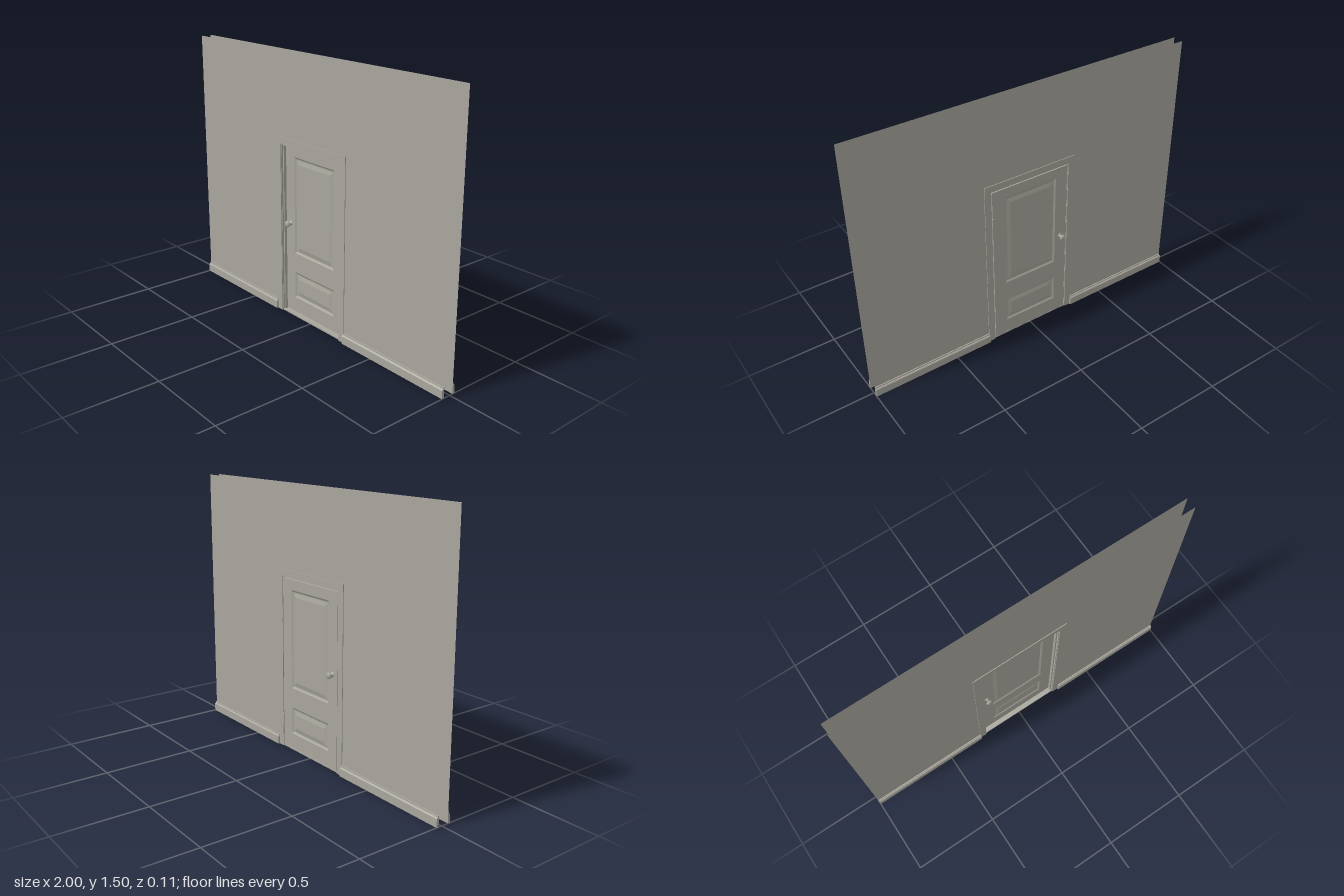
import * as THREE from 'three';

export function createModel() {
  const model = new THREE.Group();
  model.name = 'doorInWall';
  const paint = new THREE.MeshStandardMaterial({ color: 0xa8a69c, side: THREE.DoubleSide });
  paint.name = 'warmGrey';

  const add = (name, geometry, parent = model) => {
    const mesh = new THREE.Mesh(geometry, paint);
    mesh.name = name;
    parent.add(mesh);
    return mesh;
  };
  // Box given by its min and max corners
  const box = (name, x0, x1, y0, y1, z0, z1, parent) => {
    const mesh = add(name, new THREE.BoxGeometry(x1 - x0, y1 - y0, z1 - z0), parent);
    mesh.position.set((x0 + x1) / 2, (y0 + y1) / 2, (z0 + z1) / 2);
    return mesh;
  };
  const outline = (pts) => new THREE.Shape(pts.map(([x, y]) => new THREE.Vector2(x, y)));
  const rect = (x0, x1, y0, y1) => outline([[x0, y0], [x1, y0], [x1, y1], [x0, y1]]);
  // Upside-down U around the doorway
  const arch = (outX, outY, inX, inY) => outline([
    [-outX, 0], [-inX, 0], [-inX, inY], [inX, inY], [inX, 0], [outX, 0], [outX, outY], [-outX, outY]]);
  const extrude = (shape, depth) => new THREE.ExtrudeGeometry(shape, { depth, bevelEnabled: false });

  const MID = 0.01; // middle of the wall thickness

  // Both faces of the wall, with casing and baseboards; the back is the front turned round
  for (const side of ['front', 'back']) {
    const face = new THREE.Group();
    face.name = side + 'WallFace';
    face.position.z = MID;
    if (side === 'back') face.rotation.y = Math.PI;
    model.add(face);

    add('wall', new THREE.ShapeGeometry(arch(1, 1.5, 0.26, 1.01)), face).position.z = 0.03;
    add('casing', extrude(arch(0.285, 1.035, 0.245, 0.997), 0.018), face).position.z = 0.016;

    // Baseboard profile: x is the distance out from the wall, y is up
    const profile = outline([[0, 0], [0.014, 0], [0.014, 0.044], [0.01, 0.049], [0.006, 0.051], [0.006, 0.058], [0, 0.058]]);
    for (const start of [-1, 0.283]) {
      const board = add('baseboard', extrude(profile, 0.717), face);
      // profile x -> z, extrusion -> x, running from the far end
      board.rotation.y = -Math.PI / 2;
      board.position.set(start + 0.717, 0, 0.03);
    }
  }

  // Jamb, door stop and threshold
  add('jamb', extrude(arch(0.25, 1.0, 0.242, 0.992), 0.058)).position.z = -0.019;
  add('doorStop', extrude(arch(0.243, 0.993, 0.235, 0.985), 0.016)).position.z = 0.013;
  box('threshold', -0.243, 0.243, 0, 0.008, -0.018, 0.038);

  // Door leaf with openings for two panels
  const door = new THREE.Group();
  door.name = 'door';
  door.position.z = -0.005;
  model.add(door);
  const half = 0.016;
  const panels = [[0.1, 0.255], [0.37, 0.93]];
  const panelX = 0.165;
  const leaf = rect(-0.239, 0.239, 0.012, 0.988);
  for (const [y0, y1] of panels) leaf.holes.push(rect(-panelX, panelX, y0, y1));
  add('doorLeaf', extrude(leaf, 2 * half), door).position.z = -half;

  // Raised panel: nested rectangles, each [inset, depth], closed by a flat field
  const steps = [[0, 0], [0.01, -0.006], [0.016, -0.006], [0.038, -0.001]];
  const panelGeometry = (y0, y1) => {
    const pos = [], idx = [];
    for (const [i, z] of steps) {
      const x = panelX - i;
      pos.push(-x, y0 + i, z, x, y0 + i, z, x, y1 - i, z, -x, y1 - i, z);
    }
    for (let s = 0; s < steps.length - 1; s++) {
      for (let k = 0; k < 4; k++) {
        const a = s * 4 + k, b = s * 4 + (k + 1) % 4;
        idx.push(a, b, b + 4, a, b + 4, a + 4);
      }
    }
    const e = (steps.length - 1) * 4;
    idx.push(e, e + 1, e + 2, e, e + 2, e + 3);
    const g = new THREE.BufferGeometry();
    g.setAttribute('position', new THREE.Float32BufferAttribute(pos, 3));
    g.setIndex(idx);
    const flat = g.toNonIndexed();
    flat.computeVertexNormals();
    return flat;
  };

  // Knob turned on its own axis: rose, neck and rounded grip
  const knobProfile = [[0.015, 0], [0.015, 0.003], [0.007, 0.005], [0.006, 0.016], [0.012, 0.019],
    [0.018, 0.024], [0.018, 0.029], [0.013, 0.034], [0, 0.036]].map(([r, h]) => new THREE.Vector2(r, h));

  for (const dir of [1, -1]) {
    for (const [y0, y1] of panels) {
      const panel = add('raisedPanel', panelGeometry(y0, y1), door);
      panel.position.z = dir * half;
      if (dir < 0) panel.rotation.y = Math.PI;
    }
    const knob = add('knob', new THREE.LatheGeometry(knobProfile, 24), door);
    knob.rotation.x = dir * Math.PI / 2;
    knob.position.set(-0.2, 0.54, dir * half);
  }

  // Hinges on the back of the door's left edge
  for (const y of [0.17, 0.795]) {
    const pin = add('hingePin', new THREE.CylinderGeometry(0.005, 0.005, 0.068, 12));
    pin.position.set(0.24, y, -0.022);
  }
  return model;
}
